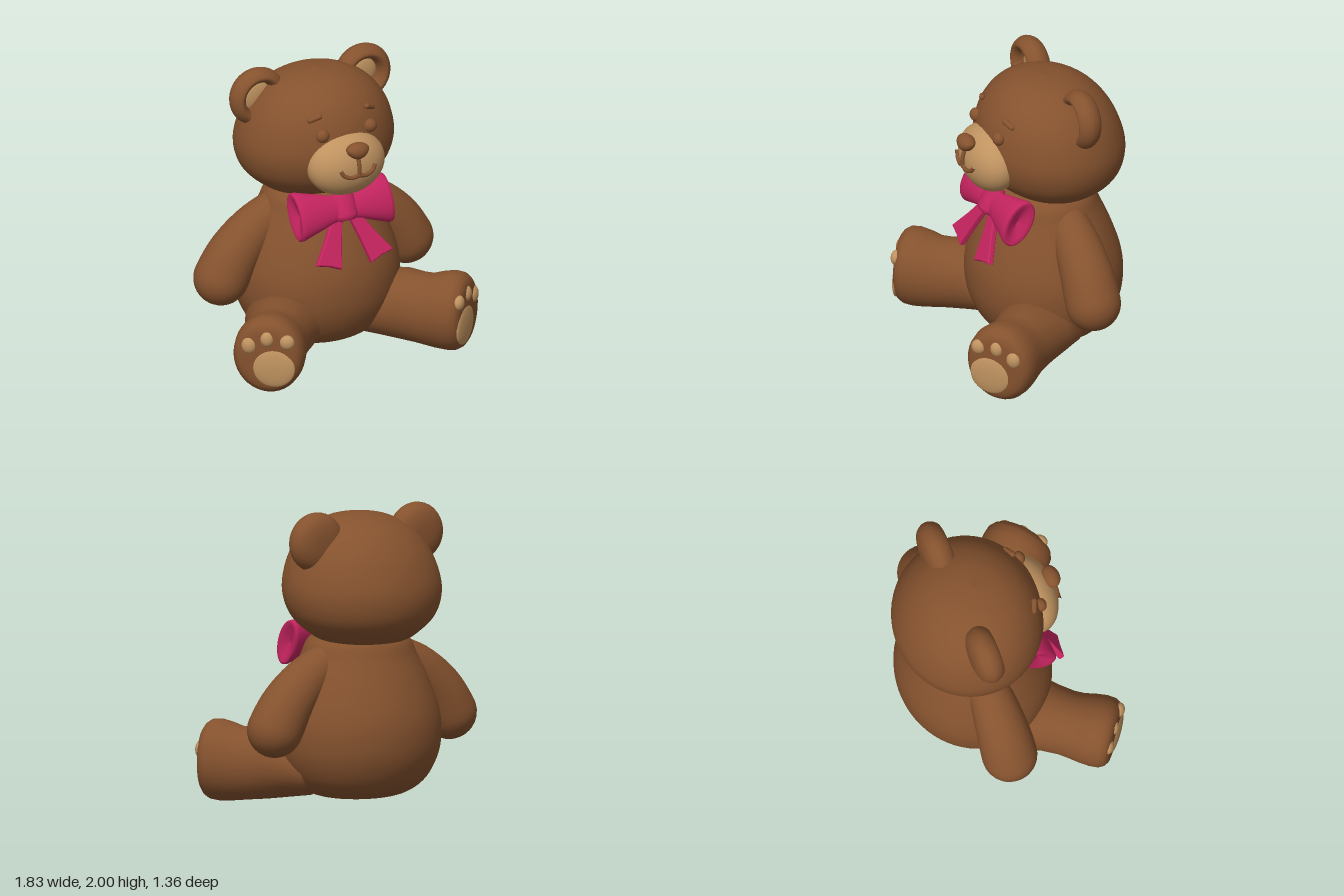
import * as THREE from 'three';

const mat = (name, color) => {
  const m = new THREE.MeshStandardMaterial({ color });
  m.name = name;
  return m;
};
const V = (x, y, z) => new THREE.Vector3(x, y, z);

// Skin over elliptical rings {c, u, v}; u x v points along the travel direction
function loft(rings, n = 40) {
  const pos = [], idx = [];
  rings.forEach(({ c, u, v }, r) => {
    for (let i = 0; i < n; i++) {
      const a = (i / n) * Math.PI * 2;
      const p = c.clone().addScaledVector(u, Math.cos(a)).addScaledVector(v, Math.sin(a));
      pos.push(p.x, p.y, p.z);
      if (r === rings.length - 1) continue;
      const a0 = r * n + i, a1 = r * n + (i + 1) % n;
      idx.push(a0, a1, a1 + n, a0, a1 + n, a0 + n);
    }
  });
  const g = new THREE.BufferGeometry();
  g.setAttribute('position', new THREE.Float32BufferAttribute(pos, 3));
  g.setIndex(idx);
  g.computeVertexNormals();
  return g;
}

// Smooth solid of revolution from a few profile points
function turned(points, segments = 64) {
  const curve = new THREE.SplineCurve(points.map(p => new THREE.Vector2(p[0], p[1])));
  const pts = curve.getPoints(48);
  pts.forEach(p => { p.x = Math.max(0, p.x); });
  return new THREE.LatheGeometry(pts, segments);
}

export function createModel() {
  const brown = mat('brown fur', 0x85522e);
  const tan = mat('tan fur', 0xc09360);
  const pink = mat('pink ribbon', 0xc4245f);
  const model = new THREE.Group();
  model.name = 'teddyBear';

  const add = (parent, name, geometry, material, x = 0, y = 0, z = 0) => {
    const m = new THREE.Mesh(geometry, material);
    m.name = name;
    m.position.set(x, y, z);
    parent.add(m);
    return m;
  };
  const ball = (parent, name, material, [x, y, z], [rx, ry, rz]) =>
    add(parent, name, new THREE.SphereGeometry(1, 40, 28).scale(rx, ry, rz), material, x, y, z);
  const group = (name, x, y, z) => {
    const g = new THREE.Group();
    g.name = name;
    g.position.set(x, y, z);
    model.add(g);
    return g;
  };

  // Torso
  const torso = turned([[0, 0.055], [0.22, 0.06], [0.36, 0.1], [0.47, 0.19], [0.545, 0.34], [0.565, 0.5],
    [0.545, 0.65], [0.48, 0.83], [0.4, 1.0], [0.34, 1.12], [0.2, 1.2]]);
  add(model, 'torso', torso.scale(1, 1, 0.92), brown, 0, 0, -0.14);

  // Head, flattened underneath and leaning slightly forward
  const head = turned([[0, 1.105], [0.26, 1.11], [0.4, 1.185], [0.5, 1.29], [0.545, 1.43], [0.53, 1.57],
    [0.47, 1.72], [0.36, 1.85], [0.2, 1.935], [0, 1.965]]);
  head.applyMatrix4(new THREE.Matrix4().set(1, 0, 0, 0, 0, 1, 0, 0, 0, 0.1, 0.91, -0.325, 0, 0, 0, 1));
  add(model, 'head', head, brown);

  // Muzzle and a nose that narrows downwards
  const mz = { y: 1.425, z: 0.26, rx: 0.28, ry: 0.222, rz: 0.185 };
  ball(model, 'muzzle', tan, [0, mz.y, mz.z], [mz.rx, mz.ry, mz.rz]);
  const nose = ball(model, 'nose', brown, [0, 1.57, 0.425], [0.087, 0.057, 0.06]);
  const np = nose.geometry.attributes.position;
  for (let i = 0; i < np.count; i++) np.setX(i, np.getX(i) * (0.9 + 4.5 * Math.min(0.02, np.getY(i))));
  nose.geometry.computeVertexNormals();

  // Mouth lines laid on the muzzle
  const onMuzzle = (x, y) => V(x, y, mz.z + 0.008 +
    mz.rz * Math.sqrt(Math.max(0, 1 - (x / mz.rx) ** 2 - ((y - mz.y) / mz.ry) ** 2)));
  const line = (name, pts) => add(model, name, new THREE.TubeGeometry(
    new THREE.CatmullRomCurve3(pts.map(p => onMuzzle(...p))), 40, 0.014, 10), brown);
  line('philtrum', [[0, 1.54], [0, 1.47], [0, 1.4]]);
  line('smile', [[-0.13, 1.45], [-0.11, 1.415], [-0.06, 1.393], [0, 1.4], [0.06, 1.393], [0.11, 1.415], [0.13, 1.45]]);

  // Ear shell, back to front, ending in a recess
  const earShell = turned([[0, -0.095], [0.09, -0.09], [0.165, -0.06], [0.2, 0], [0.188, 0.055],
    [0.15, 0.09], [0.115, 0.065], [0.1, 0.01], [0.095, -0.02]], 48).rotateX(Math.PI / 2);

  // Leg sections: distance behind the sole, half width, bottom, top
  const legSections = [[-0.9, 0.12, 0.15, 0.33], [-0.75, 0.28, 0.07, 0.42], [-0.6, 0.26, 0.05, 0.49],
    [-0.45, 0.225, 0.03, 0.515], [-0.34, 0.215, 0.02, 0.505], [-0.27, 0.22, 0.013, 0.505], [-0.2, 0.232, 0.006, 0.53],
    [-0.12, 0.24, 0.003, 0.55], [-0.06, 0.235, 0.012, 0.545], [-0.025, 0.215, 0.035, 0.52],
    [-0.006, 0.19, 0.065, 0.49], [0, 0.15, 0.11, 0.45], [0.004, 0, 0.28, 0.28]];
  const legGeometry = loft(legSections.map(([s, w, b, t]) =>
    ({ c: V(0, (b + t) / 2, s), u: V(w, 0, 0), v: V(0, (t - b) / 2, 0) })));

  // Arm: thickening tube with a rounded paw
  const armPath = new THREE.CatmullRomCurve3([V(0.25, 1.0, 0), V(0.44, 0.88, 0), V(0.6, 0.72, 0), V(0.7, 0.56, 0)]);
  const armRings = [];
  const armRing = (c, t, r) => armRings.push({ c, u: V(-t.y * r, t.x * r, 0), v: V(0, 0, r) });
  for (let i = 0; i <= 14; i++) {
    const k = i / 14;
    armRing(armPath.getPoint(k), armPath.getTangent(k), 0.125 + 0.06 * Math.sin(k * Math.PI / 2));
  }
  const armEnd = armPath.getTangent(1);
  for (let i = 1; i <= 8; i++) {
    const a = i / 8 * Math.PI / 2;
    armRing(V(0.7, 0.56, 0).addScaledVector(armEnd, 0.185 * Math.sin(a)), armEnd, 0.185 * Math.cos(a));
  }
  const armGeometry = loft(armRings);

  for (const side of [1, -1]) {
    const label = side > 0 ? 'left' : 'right';

    const ear = group(label + 'Ear', side * 0.4, 1.8, -0.24);
    add(ear, 'earShell', earShell, brown);
    ball(ear, 'innerEar', tan, [0, 0, 0], [0.108, 0.108, 0.035]);

    ball(model, label + 'Eye', brown, [side * 0.18, 1.655, 0.272], [0.046, 0.046, 0.04]);
    const brow = add(model, label + 'Brow', new THREE.CapsuleGeometry(0.019, 0.068, 8, 16),
      brown, side * 0.208, 1.765, 0.213);
    brow.rotation.set(0, side * 0.45, side * (Math.PI / 2 - 0.4));

    const arm = add(model, label + 'Arm', armGeometry, brown, 0, 0, -0.18);
    arm.rotation.y = side > 0 ? 0 : Math.PI;

    // Leg splayed outwards, with pads on the sole
    const leg = group(label + 'Leg', side * 0.765, 0, 0.56);
    leg.rotation.y = side * 0.694;
    add(leg, 'legAndFoot', legGeometry, brown);
    ball(leg, 'solePad', tan, [side * -0.045, 0.21, -0.008], [0.145, 0.138, 0.026]);
    for (const [x, y, w, h] of [[0.122, 0.36, 0.05, 0.06], [0, 0.415, 0.046, 0.056], [-0.135, 0.4, 0.05, 0.052]])
      ball(leg, 'toePad', tan, [side * x, y, -0.014], [w, h, 0.036]);
  }

  // Bow tie, tilted to rest on the chest below the chin
  const bow = group('bow', 0, 1.09, 0.24);
  bow.rotation.x = -0.48;
  // Half sections: x, half height, half depth, depth offset; the ends fold inwards
  const half = [[0.04, 0.085, 0.035, 0], [0.1, 0.095, 0.05, -0.005], [0.18, 0.122, 0.07, -0.02], [0.26, 0.147, 0.09, -0.035],
    [0.32, 0.166, 0.1, -0.045], [0.345, 0.165, 0.098, -0.048], [0.352, 0.15, 0.083, -0.048],
    [0.34, 0.125, 0.06, -0.048], [0.31, 0, 0, -0.048]];
  const both = [...half.map(([x, ...r]) => [-x, ...r]).reverse(), ...half];
  add(bow, 'bowLoops', loft(both.map(([x, h, d, z]) => ({ c: V(x, 0, z), u: V(0, h, 0), v: V(0, 0, d) }))), pink);
  const knot = loft([[-0.095, 0], [-0.095, 0.6], [-0.085, 0.85], [-0.06, 1], [0.06, 1], [0.085, 0.85], [0.095, 0.6], [0.095, 0]]
    .map(([y, k]) => ({ c: V(0, y, 0), u: V(0, 0, 0.065 * k), v: V(0.085 * k, 0, 0) })), 32);
  add(bow, 'bowKnot', knot, pink);
  for (const side of [1, -1]) {
    const shape = new THREE.Shape([[0.03, -0.05], [0.09, -0.05], [0.17, -0.19], [0.275, -0.34], [0.19, -0.36], [0.12, -0.39], [0.085, -0.24]]
      .map(([x, y]) => new THREE.Vector2(side * x, y)));
    const tail = new THREE.ExtrudeGeometry(shape, { depth: 0.025, bevelThickness: 0.01, bevelSize: 0.01, bevelSegments: 3 });
    add(bow, 'bowTail', tail, pink, 0, 0, -0.035);
  }

  return model;
}
